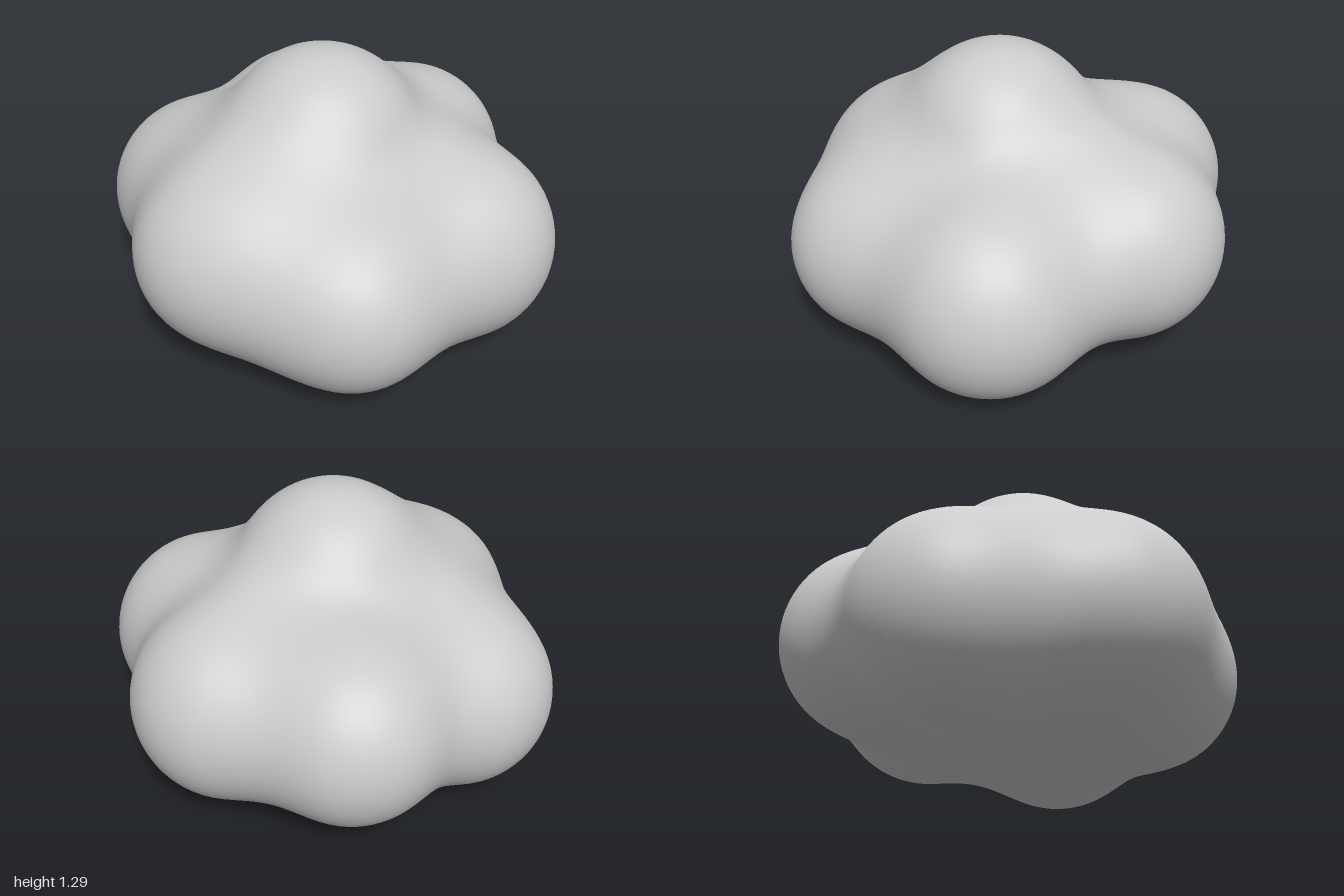
import * as THREE from 'three';

// Puffs of the cloud: x, y, z, radius, softness of the joint to the earlier puffs
const PUFFS = [
  [0.0, 0.5, 0.0, 0.47, 0.3],        // core
  [0.02, 0.86, 0.06, 0.43, 0.3],     // crown
  [0.03, 0.52, -0.55, 0.44, 0.3],    // back
  [0.55, 0.45, -0.2, 0.45, 0.23],    // back left
  [0.46, 0.45, 0.39, 0.41, 0.28],    // front left
  [-0.05, 0.53, 0.56, 0.42, 0.33],   // front
  [-0.57, 0.45, 0.21, 0.43, 0.32],   // right
  [-0.47, 0.54, -0.36, 0.42, 0.22],  // back right
];

// Smoothly blended distance to all puffs
function distance(p) {
  let d = Infinity;
  for (const [x, y, z, r, soft] of PUFFS) {
    const s = Math.hypot(p.x - x, p.y - y, p.z - z) - r;
    const h = Math.max(soft - Math.abs(d - s), 0) / soft;
    d = Math.min(d, s) - h * h * soft * 0.25;
  }
  return d;
}

// Surface direction from the slope of the distance
function slope(p) {
  const e = 0.01;
  const n = ['x', 'y', 'z'].map((axis) => {
    const a = p.clone(), b = p.clone();
    a[axis] += e;
    b[axis] -= e;
    return distance(a) - distance(b);
  });
  return new THREE.Vector3(...n).normalize();
}

export function createModel() {
  const group = new THREE.Group();
  group.name = 'cloud';

  // Push each point of a ball outward until it meets the blended surface
  const geometry = new THREE.IcosahedronGeometry(1, 28);
  const pos = geometry.attributes.position;
  const normal = geometry.attributes.normal;
  const centre = new THREE.Vector3(0, 0.5, 0);
  const dir = new THREE.Vector3();
  const p = new THREE.Vector3();
  for (let i = 0; i < pos.count; i++) {
    dir.fromBufferAttribute(pos, i).normalize();
    let near = 0, far = 1.4;
    for (let k = 0; k < 20; k++) {
      const mid = (near + far) / 2;
      p.copy(centre).addScaledVector(dir, mid);
      if (distance(p) < 0) near = mid;
      else far = mid;
    }
    pos.setXYZ(i, p.x, p.y, p.z);
    const n = slope(p);
    normal.setXYZ(i, n.x, n.y, n.z);
  }

  const mesh = new THREE.Mesh(geometry, new THREE.MeshStandardMaterial({ color: 0xcccccc }));
  mesh.name = 'cloudBody';
  group.add(mesh);
  return group;
}
